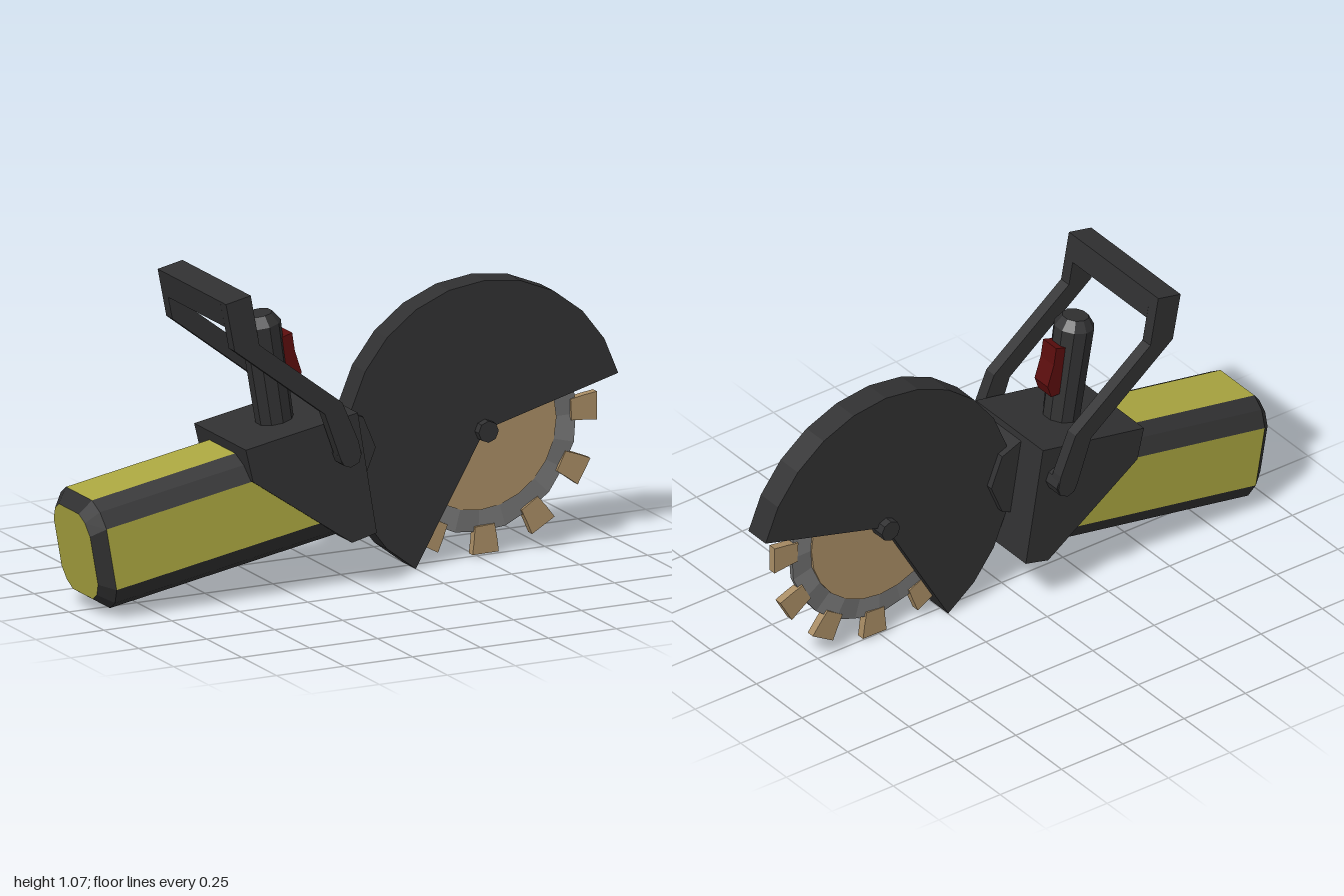
import * as THREE from 'three';

const mat = (name, color) => {
  const m = new THREE.MeshStandardMaterial({ color, flatShading: true });
  m.name = name;
  return m;
};

export function createModel() {
  const dark = mat('charcoal', 0x303031);
  const yellow = mat('yellow', 0xaaa640);
  const tan = mat('tan', 0xa88c64);
  const grey = mat('steel grey', 0x747474);
  const red = mat('dark red', 0x5a0d0d);
  const root = new THREE.Group();
  root.name = 'powerCutter';
  const tool = new THREE.Group();
  tool.name = 'tool';
  tool.position.z = 0.005;
  root.add(tool);

  const add = (name, geo, material, parent = tool) => {
    const mesh = new THREE.Mesh(geo, material);
    mesh.name = name;
    parent.add(mesh);
    return mesh;
  };
  // Side outline [x, y] extruded between two z values
  const slab = (pts, z0, z1) => {
    const shape = new THREE.Shape(pts.map(p => new THREE.Vector2(...p)));
    return new THREE.ExtrudeGeometry(shape, { depth: z1 - z0, bevelEnabled: false }).translate(0, 0, z0);
  };
  // Cylinder lying along z
  const disc = (r, depth, sides) => new THREE.CylinderGeometry(r, r, depth, sides).rotateX(Math.PI / 2);

  // Motor body: chamfered prism with yellow panels and a bevelled rear end
  const quarter = [[0.19, 0.093], [0.16, 0.14], [0.107, 0.17]];
  const rev = [...quarter].reverse();
  const loop = [
    ...quarter,
    ...rev.map(([y, z]) => [-y, z]),
    ...quarter.map(([y, z]) => [-y, -z]),
    ...rev.map(([y, z]) => [y, -z]),
  ];
  const ring = (x, inset) => loop.map(([y, z]) =>
    [x, y * (1 - inset / 0.19), z * (1 - inset / 0.17)]);
  const rings = [ring(0, 0.04), ring(0.045, 0), ring(0.92, 0)];
  const faces = { dark: [], yellow: [] };
  for (let i = 0; i < 12; i++) {
    const j = (i + 1) % 12;
    faces.yellow.push([0, 0, 0], rings[0][j], rings[0][i]);
    for (let k = 0; k < 2; k++) {
      const [a, b] = [rings[k], rings[k + 1]];
      const panel = k === 1 && i % 3 === 2;
      faces[panel ? 'yellow' : 'dark'].push(a[i], a[j], b[j], a[i], b[j], b[i]);
    }
  }
  const body = new THREE.Group();
  body.name = 'motorBody';
  body.position.set(-0.977, 0.21, 0);
  body.rotation.z = THREE.MathUtils.degToRad(10);
  tool.add(body);
  for (const [key, material, name] of [['dark', dark, 'bodyEdges'], ['yellow', yellow, 'bodyPanels']]) {
    const geo = new THREE.BufferGeometry();
    geo.setAttribute('position', new THREE.Float32BufferAttribute(faces[key].flat(), 3));
    geo.computeVertexNormals();
    add(name, geo, material, body);
  }

  // Housing wedge joining body, grip and guard
  add('housing', slab([[-0.447, 0.532], [-0.42, 0.42], [-0.056, 0.168], [0.035, 0.19], [-0.035, 0.607]],
    -0.185, 0.185), dark);

  // Octagonal arm joint
  add('armJoint', disc(0.153, 0.14, 8), dark).position.set(-0.063, 0.445, 0);

  // Blade guard: sector of a polygonal disc
  const C = [0.503, 0.446];
  const polar = (r, deg) => {
    const a = THREE.MathUtils.degToRad(deg);
    return [C[0] + r * Math.cos(a), C[1] + r * Math.sin(a)];
  };
  const sector = [C];
  for (let d = 15; d <= 240; d += 15) sector.push(polar(0.508, d));
  add('bladeGuard', slab(sector, -0.047, 0.047), dark);
  add('bladeHub', disc(0.037, 0.15, 8), dark).position.set(...C, 0);

  // Blade: tan core, slightly wavy steel rim, twelve teeth
  add('bladeCore', disc(0.28, 0.03, 24), tan).position.set(...C, 0);
  const rim = disc(0.357, 0.016, 24);
  const p = rim.attributes.position;
  for (let i = 0; i < p.count; i++) {
    if (Math.hypot(p.getX(i), p.getY(i)) < 0.1) continue;
    const step = Math.round(Math.atan2(p.getY(i), p.getX(i)) * 12 / Math.PI);
    p.setZ(i, p.getZ(i) + (step % 2 ? 0.005 : -0.005));
  }
  rim.computeVertexNormals();
  add('bladeRim', rim, grey).position.set(...C, 0);
  for (let i = 0; i < 12; i++) {
    const tooth = slab([[0.335, -0.036], [0.38, -0.042], [0.428, -0.05], [0.432, 0.046], [0.38, 0.042], [0.335, 0.036]],
      -0.014, 0.014);
    const mesh = add('tooth', tooth, tan);
    mesh.position.set(...C, 0);
    mesh.rotation.z = THREE.MathUtils.degToRad(3 + i * 30);
  }

  // Rear grip with chamfered top
  const grip = add('grip', new THREE.LatheGeometry(
    [[0, 0], [0.063, 0], [0.069, 0.38], [0.045, 0.415], [0, 0.415]].map(q => new THREE.Vector2(...q)), 10), dark);
  grip.position.set(-0.24, 0.525, 0);
  grip.rotation.z = THREE.MathUtils.degToRad(9);

  // Trigger
  add('trigger', slab([[-0.26, 0.845], [-0.26, 0.68], [-0.18, 0.68], [-0.165, 0.725], [-0.19, 0.8], [-0.2, 0.863]],
    -0.036, 0.036), red);

  // Loop handle: two bent legs, pivots and a cross bar
  const leg = [[-0.088, 0.441], [-0.058, 0.455], [-0.05, 0.482], [-0.06, 0.527], [-0.12, 0.666], [-0.425, 0.9],
    [-0.457, 1.072], [-0.548, 1.053], [-0.516, 0.89], [-0.184, 0.634], [-0.126, 0.473], [-0.113, 0.45]];
  const handle = new THREE.Group();
  handle.name = 'handle';
  root.add(handle);
  for (const s of [-1, 1]) {
    add('handleLeg', slab(leg, s > 0 ? 0.202 : -0.245, s > 0 ? 0.245 : -0.202), dark, handle);
    add('handlePivot', disc(0.042, 0.06, 8), dark, handle).position.set(-0.088, 0.484, s * 0.21);
  }
  add('handleBar', slab([[-0.457, 1.072], [-0.548, 1.053], [-0.531, 0.965], [-0.44, 0.982]], -0.203, 0.203), dark, handle);

  return root;
}
